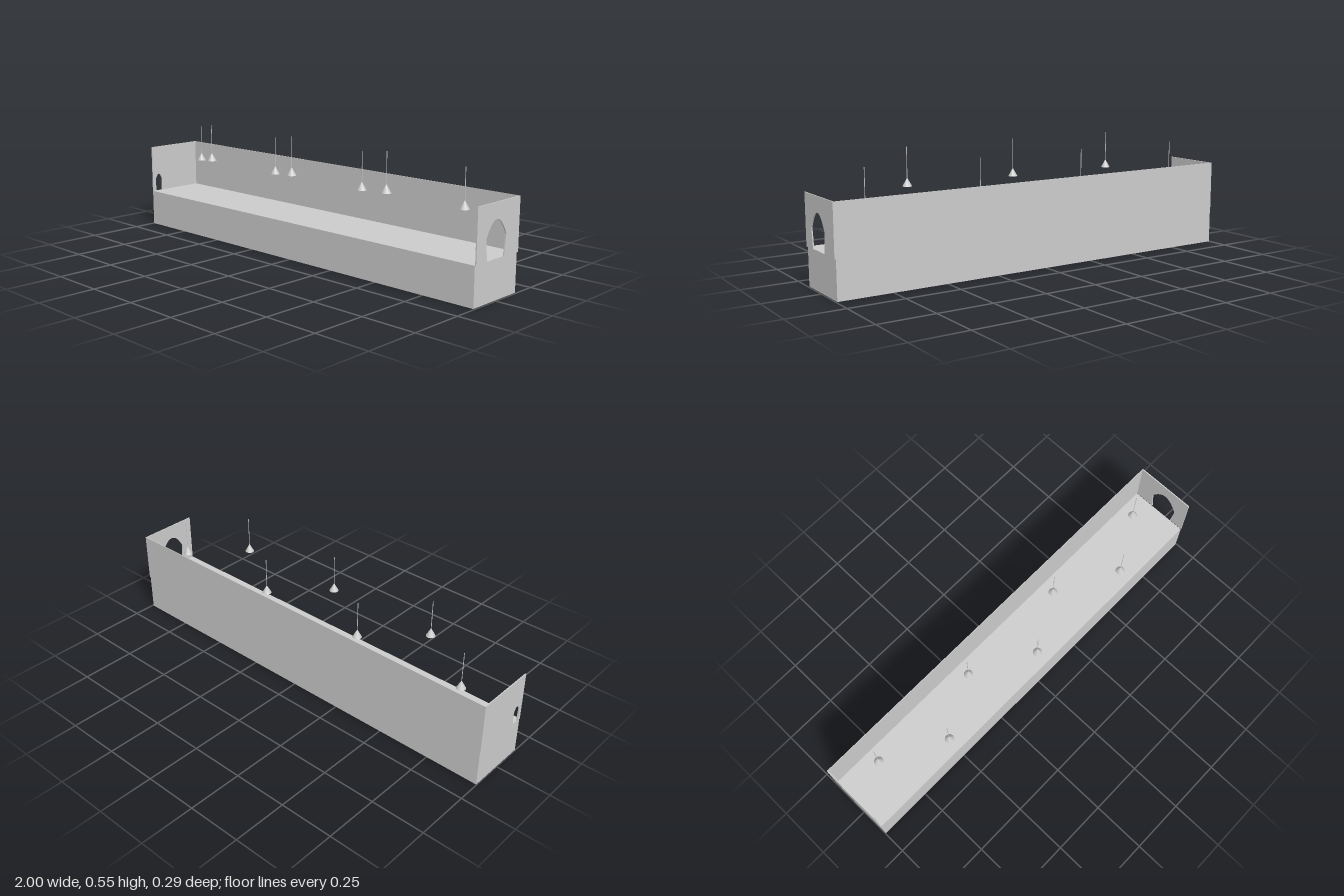
import * as THREE from 'three';

const BACK = -0.145, FRONT = 0.14, FLOOR = 0.17, TOP = 0.397, WALL = 0.005;
const grey = new THREE.MeshStandardMaterial({ color: 0xcccccc, side: THREE.DoubleSide });

function add(parent, name, geometry, x = 0, y = 0, z = 0) {
  const mesh = new THREE.Mesh(geometry, grey);
  mesh.name = name;
  mesh.position.set(x, y, z);
  parent.add(mesh);
  return mesh;
}

// Thin end wall with an arched doorway cut up from its foot.
// Shape coordinates are (z, y); the thickness runs towards -x.
function endWall({ centre, foot, shoulder, shoulderY, peakY }) {
  const s = new THREE.Shape();
  const rise = peakY - shoulderY;
  s.moveTo(BACK, FLOOR);
  s.lineTo(centre - foot, FLOOR);
  s.lineTo(centre - shoulder, shoulderY);
  s.bezierCurveTo(centre - shoulder * 0.75, shoulderY + rise * 0.5,
    centre - shoulder * 0.4, peakY, centre, peakY);
  s.bezierCurveTo(centre + shoulder * 0.4, peakY,
    centre + shoulder * 0.75, shoulderY + rise * 0.5, centre + shoulder, shoulderY);
  s.lineTo(centre + foot, FLOOR);
  s.lineTo(FRONT, FLOOR);
  s.lineTo(FRONT, TOP);
  s.lineTo(BACK, TOP);
  s.closePath();
  return new THREE.ExtrudeGeometry(s, { depth: WALL, bevelEnabled: false, curveSegments: 10 })
    .rotateY(-Math.PI / 2);
}

// Cone shade hanging on a thin rod
function lamp(x, y, z, rodTop) {
  const g = new THREE.Group();
  g.name = 'hangingLamp';
  g.position.set(x, y, z);
  add(g, 'lampShade', new THREE.ConeGeometry(0.021, 0.038, 12), 0, 0.019, 0);
  const bottom = 0.03, length = rodTop - y - bottom;
  add(g, 'lampRod', new THREE.CylinderGeometry(0.0015, 0.0015, length, 6), 0, bottom + length / 2, 0);
  return g;
}

export function createModel() {
  const model = new THREE.Group();
  model.name = 'stage';
  const depth = FRONT - BACK, midZ = (FRONT + BACK) / 2;

  // Solid platform
  add(model, 'platform', new THREE.BoxGeometry(1.992, FLOOR, depth), -0.002, FLOOR / 2, midZ);

  // Back wall
  add(model, 'backWall', new THREE.BoxGeometry(1.994, TOP - FLOOR, 0.003),
    0, (TOP + FLOOR) / 2, BACK + 0.0015);

  // End walls: a wide doorway on the left, a small one on the right
  add(model, 'leftWall', endWall(
    { centre: 0.012, foot: 0.057, shoulder: 0.068, shoulderY: 0.26, peakY: 0.33 }), 1);
  add(model, 'rightWall', endWall(
    { centre: 0.103, foot: 0.017, shoulder: 0.02, shoulderY: 0.228, peakY: 0.255 }), -1 + WALL);

  // Two staggered rows of lamps
  for (const x of [-0.543, 0, 0.543]) model.add(lamp(x, 0.381, 0.123, 0.553));
  for (const x of [-0.815, -0.272, 0.272, 0.815]) model.add(lamp(x, 0.331, -0.036, 0.503));

  return model;
}
